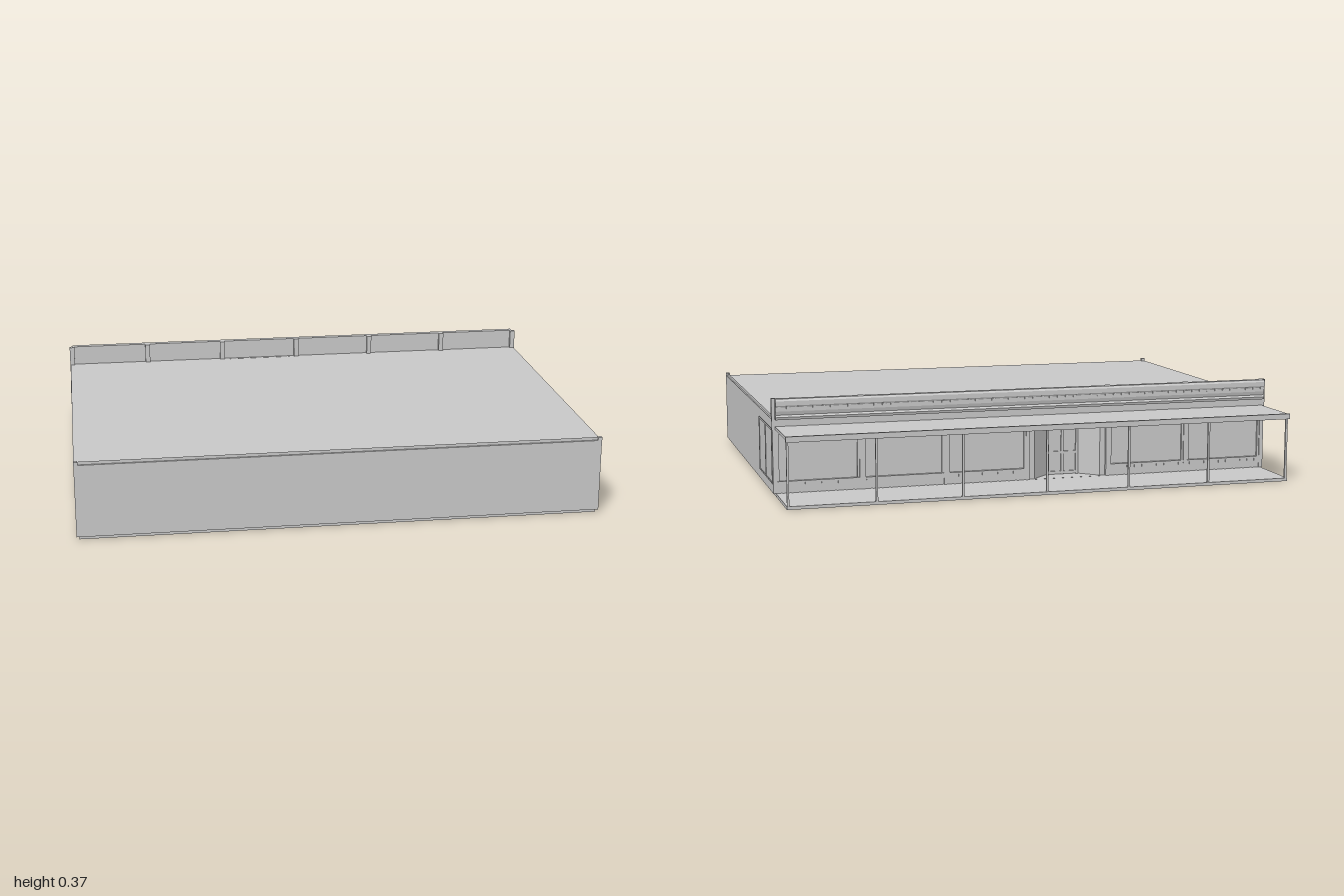
import * as THREE from 'three';

const grey = new THREE.MeshStandardMaterial({ color: 0xc8c8c8 });
grey.name = 'plain grey';

export function createModel() {
  const model = new THREE.Group();
  model.name = 'shopBuilding';

  const add = (name, geometry) => {
    const mesh = new THREE.Mesh(geometry, grey);
    mesh.name = name;
    model.add(mesh);
    return mesh;
  };
  // box given by its lower and upper corners
  const box = (name, x0, x1, y0, y1, z0, z1) => {
    const mesh = add(name, new THREE.BoxGeometry(x1 - x0, y1 - y0, z1 - z0));
    mesh.position.set((x0 + x1) / 2, (y0 + y1) / 2, (z0 + z1) / 2);
    return mesh;
  };

  const W = 0.998, BACK = -0.54, GLASS = -0.527, FRONT = 0.795, ROOF = 0.293;
  const bay = 0.33;
  // seven positions along the back; the end ones sit flush with the corners
  const pierX = [-3, -2, -1, 0, 1, 2, 3].map((i) => (Math.abs(i) === 3 ? Math.sign(i) * 0.99 : i * bay));

  // floor slabs
  box('buildingSlab', -0.988, 0.988, 0, 0.012, BACK + 0.002, 0.787);
  box('porchSlab', -0.988, 0.988, 0, 0.012, -0.787, BACK);

  // body with a splayed entrance recess in the back wall
  const plan = new THREE.Shape([
    [-W, -FRONT], [W, -FRONT], [W, -GLASS], [-0.03, -GLASS], [-0.1, 0.46],
    [-0.23, 0.46], [-0.3, -GLASS], [-W, -GLASS],
  ].map(([x, y]) => new THREE.Vector2(x, y)));
  const body = add('walls', new THREE.ExtrudeGeometry(plan, { depth: ROOF - 0.012, bevelEnabled: false }));
  body.rotation.x = -Math.PI / 2;
  body.position.y = 0.012;

  // thin upstand around the roof, facing outwards, between small corner blocks
  const upstand = (name, length, x, z, turn) => {
    const mesh = add(name, new THREE.PlaneGeometry(length, 0.012));
    mesh.position.set(x, ROOF + 0.006, z);
    mesh.rotation.y = turn;
  };
  upstand('frontUpstand', 1.97, 0, 0.788, 0);
  for (const s of [-1, 1]) {
    upstand('sideUpstand', 1.315, s * 0.992, 0.1235, s * Math.PI / 2);
    box('roofCornerBlock', s * 0.991 - 0.008, s * 0.991 + 0.008, ROOF - 0.002, 0.305, 0.78, FRONT - 0.001);
  }

  // back parapet with piers on its roof side
  box('parapet', -1, 1, 0.255, 0.372, BACK, -0.536);
  for (const x of pierX) {
    box('parapetPier', x - 0.01, x + 0.01, 0.285, 0.372, -0.537, -0.523);
  }

  // moulded cornice, profile swept along x
  const profile = new THREE.Shape([
    [0.539, 0.293], [0.56, 0.293], [0.563, 0.303], [0.558, 0.311], [0.562, 0.325],
    [0.562, 0.34], [0.566, 0.347], [0.566, 0.364], [0.561, 0.372], [0.539, 0.372],
  ].map(([x, y]) => new THREE.Vector2(x, y)));
  const cornice = add('cornice', new THREE.ExtrudeGeometry(profile, { depth: 1.976, bevelEnabled: false }));
  cornice.rotation.y = Math.PI / 2;
  cornice.position.x = -0.988;
  for (let i = 0; i < 60; i++) {
    const x = -0.975 + i * 0.03305;
    box('dentil', x - 0.006, x + 0.006, 0.335, 0.343, -0.566, -0.56);
  }

  // porch canopy, edge gutter and posts
  box('canopy', -0.988, 0.988, 0.255, 0.266, -0.785, BACK + 0.002);
  box('gutter', -0.99, 0.99, 0.247, 0.268, -FRONT, -0.783);
  for (let i = -3; i <= 3; i++) {
    const x = i * 0.3275;
    box('porchPost', x - 0.004, x + 0.004, 0.01, 0.257, -0.783, -0.775);
  }

  // back facade piers and header
  box('facadeHeader', -W, W, 0.235, ROOF, BACK + 0.001, GLASS);
  for (const x of pierX) {
    box('facadePier', x - 0.008, x + 0.008, 0.012, 0.24, BACK + 0.001, GLASS);
  }

  // shop windows above low stall risers, one per bay except the entrance
  for (let i = -3; i < 3; i++) {
    if (i === -1) continue;
    const x0 = i * bay + 0.008, x1 = (i + 1) * bay - 0.008;
    box('stallRiser', x0, x1, 0.012, 0.05, -0.536, GLASS);
    box('windowSill', x0, x1, 0.05, 0.057, -0.54, GLASS);
    for (const x of [x0 + 0.004, x1 - 0.004]) {
      box('windowJamb', x - 0.004, x + 0.004, 0.057, 0.235, -0.535, GLASS);
    }
    for (let k = 0; k < 10; k++) {
      const x = x0 + (x1 - x0) * (k + 0.5) / 10;
      box('sillBracket', x - 0.005, x + 0.005, 0.04, 0.05, -0.539, -0.535);
    }
  }

  // double door in the recess
  for (const x of [-0.226, -0.165, -0.104]) {
    box('doorStile', x - 0.005, x + 0.005, 0.012, 0.235, -0.466, -0.459);
  }
  for (const y of [0.02, 0.1, 0.2]) {
    box('doorRail', -0.23, -0.1, y - 0.005, y + 0.005, -0.465, -0.459);
  }
  box('entranceCeiling', -0.31, -0.02, 0.235, ROOF - 0.001, -0.535, -0.45);

  // framed side windows next to the back corners
  for (const s of [-1, 1]) {
    const strip = (name, y0, y1, z0, z1) => {
      box(name, -0.002, 0.002, y0, y1, z0, z1).position.x = s * 0.998;
    };
    for (const z of [-0.21, -0.365, -0.522]) strip('sideWindowPost', 0.05, 0.255, z - 0.004, z + 0.004);
    strip('sideWindowHead', 0.25, 0.258, -0.526, -0.206);
    strip('sideWindowSill', 0.047, 0.053, -0.526, -0.206);
  }

  return model;
}
